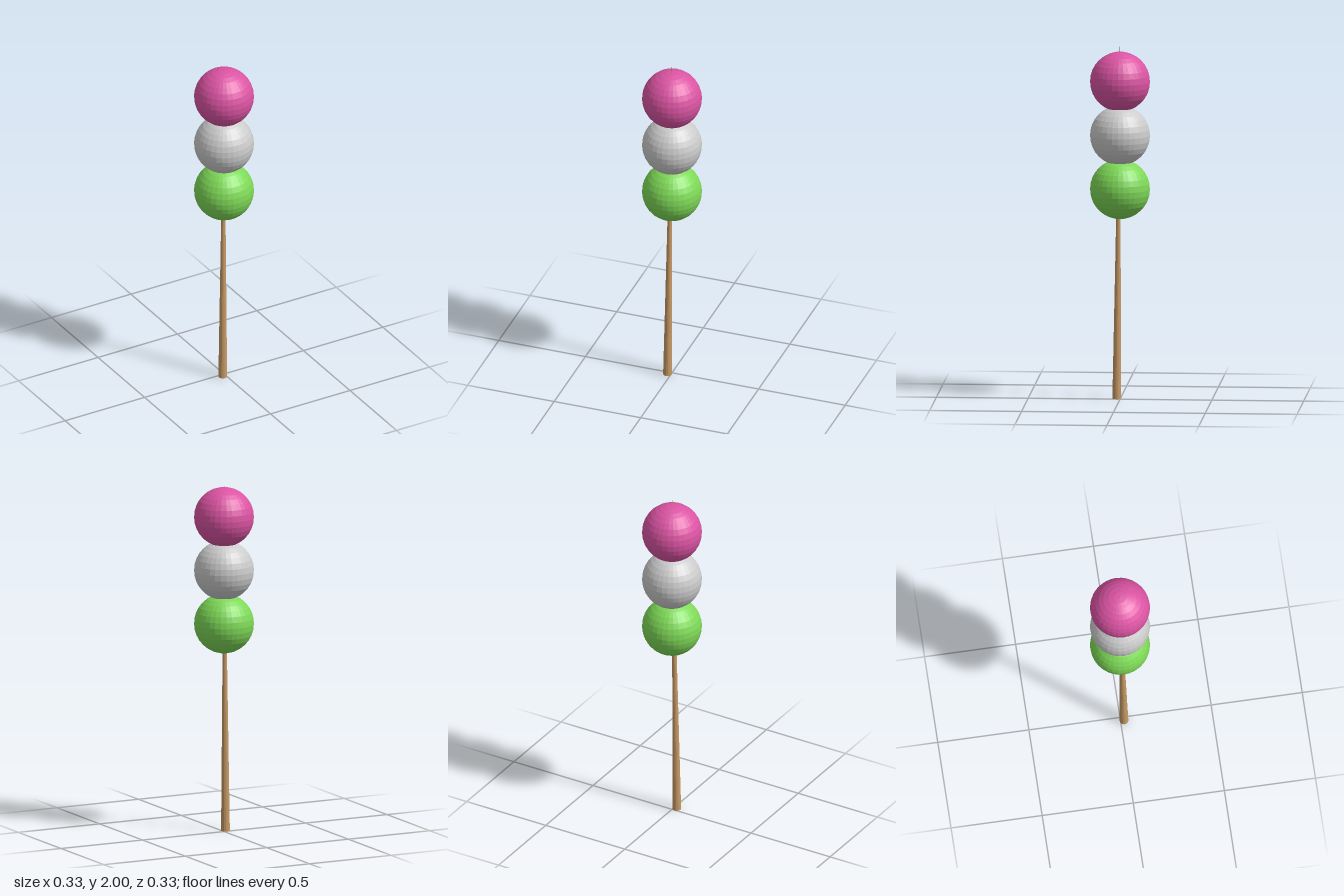
import * as THREE from 'three';

const material = (color) => new THREE.MeshStandardMaterial({ color, flatShading: true });

export function createModel() {
  const group = new THREE.Group();

  // Three dumplings, bottom to top, slightly overlapping
  const ball = new THREE.SphereGeometry(0.163, 32, 16);
  const balls = [
    ['greenDumpling', 0x7ed957],
    ['whiteDumpling', 0xcccccc],
    ['pinkDumpling', 0xdb54a3],
  ];
  balls.forEach(([name, color], i) => {
    const mesh = new THREE.Mesh(ball, material(color));
    mesh.name = name;
    mesh.position.y = 1.153 + i * 0.295;
    group.add(mesh);
  });

  // Long tapered skewer, leaning slightly, ending in a fine point
  const base = new THREE.Vector3(-0.019, 0, 0.019);
  const tip = new THREE.Vector3(0, 2, 0);
  const axis = tip.clone().sub(base);
  const stick = new THREE.Mesh(
    new THREE.ConeGeometry(0.024, axis.length(), 16),
    material(0xc89b66)
  );
  stick.name = 'skewer';
  stick.position.copy(base).add(tip).multiplyScalar(0.5);
  stick.quaternion.setFromUnitVectors(new THREE.Vector3(0, 1, 0), axis.normalize());
  group.add(stick);

  return group;
}
